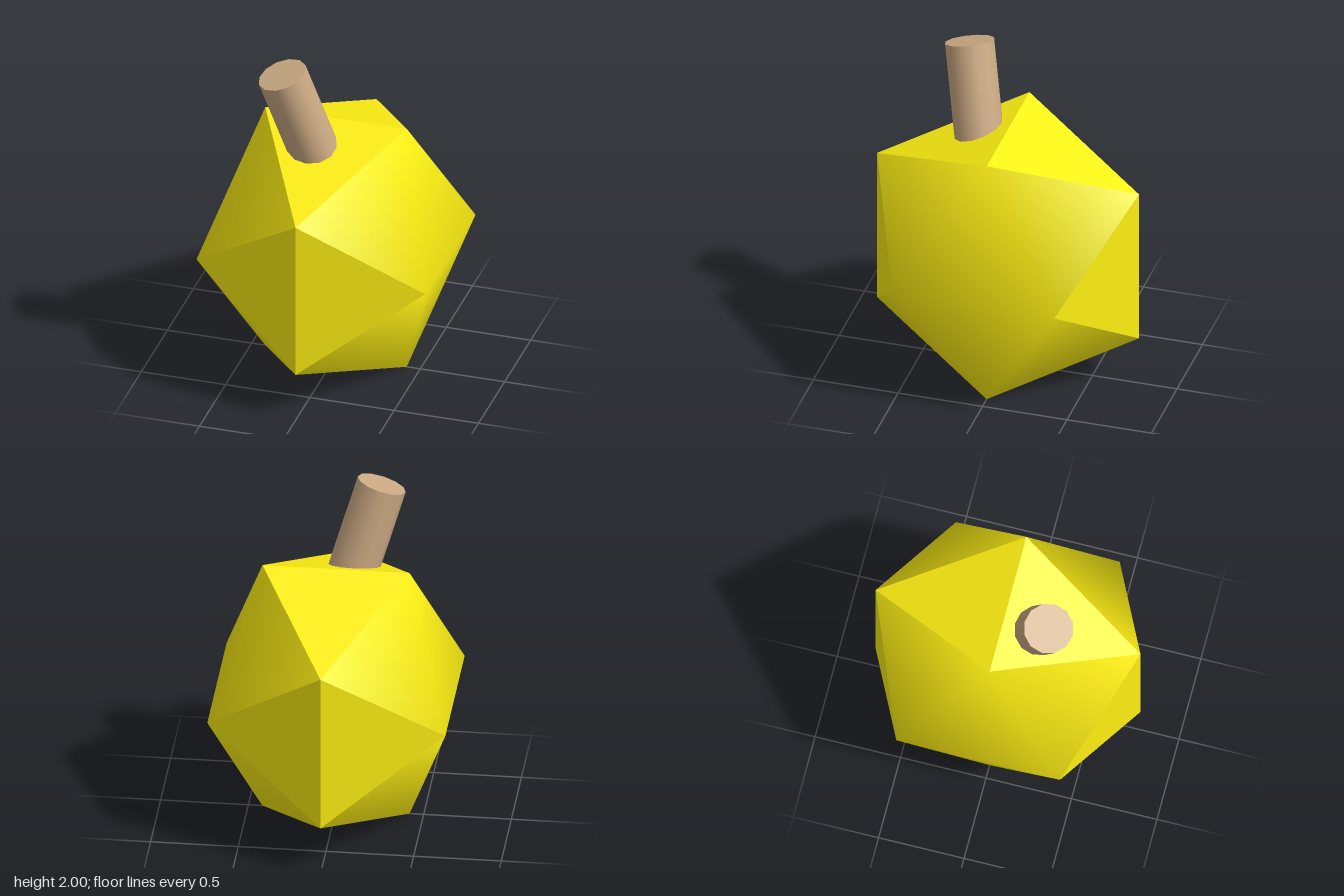
import * as THREE from 'three';
import { mergeVertices } from 'three/addons/utils/BufferGeometryUtils.js';

const yellow = new THREE.MeshStandardMaterial({ color: 0xfff012 });
const tan = new THREE.MeshStandardMaterial({ color: 0xcdab84 });

function addMesh(parent, name, geometry, material) {
  const mesh = new THREE.Mesh(geometry, material);
  mesh.name = name;
  parent.add(mesh);
  return mesh;
}

// Collect the faces of a triangle soup whose centre passes a test
function pickFaces(source, test) {
  const p = source.attributes.position;
  const picked = [];
  for (let i = 0; i < p.count; i += 3) {
    const centreX = (p.getX(i) + p.getX(i + 1) + p.getX(i + 2)) / 3;
    if (!test(centreX)) continue;
    for (let k = i; k < i + 3; k++) picked.push(p.getX(k), p.getY(k), p.getZ(k));
  }
  const geometry = new THREE.BufferGeometry();
  geometry.setAttribute('position', new THREE.Float32BufferAttribute(picked, 3));
  return geometry;
}

export function createModel() {
  const model = new THREE.Group();

  // Body: a slightly narrowed icosahedron standing on its lower edge
  const body = new THREE.Group();
  body.name = 'body';
  model.add(body);
  const solid = new THREE.IcosahedronGeometry(0.911, 0);
  solid.scale(0.876, 1, 1).translate(0, 0.775, 0);

  // Flat facets at the front, back, top and bottom
  const facets = pickFaces(solid, (x) => Math.abs(x) < 0.3);
  facets.computeVertexNormals();
  addMesh(body, 'flatFacets', facets, yellow);

  // Left and right sides, each smoothly shaded as one surface
  for (const [name, side] of [['leftSide', 1], ['rightSide', -1]]) {
    const smooth = mergeVertices(pickFaces(solid, (x) => x * side >= 0.3));
    smooth.computeVertexNormals();
    addMesh(body, name, smooth, yellow);
  }

  // Stem: a leaning cylinder sunk into the front top facet
  const length = 0.68;
  const axis = new THREE.Vector3(-0.3, 1, 0.2).normalize();
  const tip = new THREE.Vector3(-0.227, 1.952, 0.296);
  const stem = addMesh(model, 'stem', new THREE.CylinderGeometry(0.143, 0.143, length, 12), tan);
  stem.quaternion.setFromUnitVectors(new THREE.Vector3(0, 1, 0), axis);
  stem.position.copy(tip).addScaledVector(axis, -length / 2);

  return model;
}
